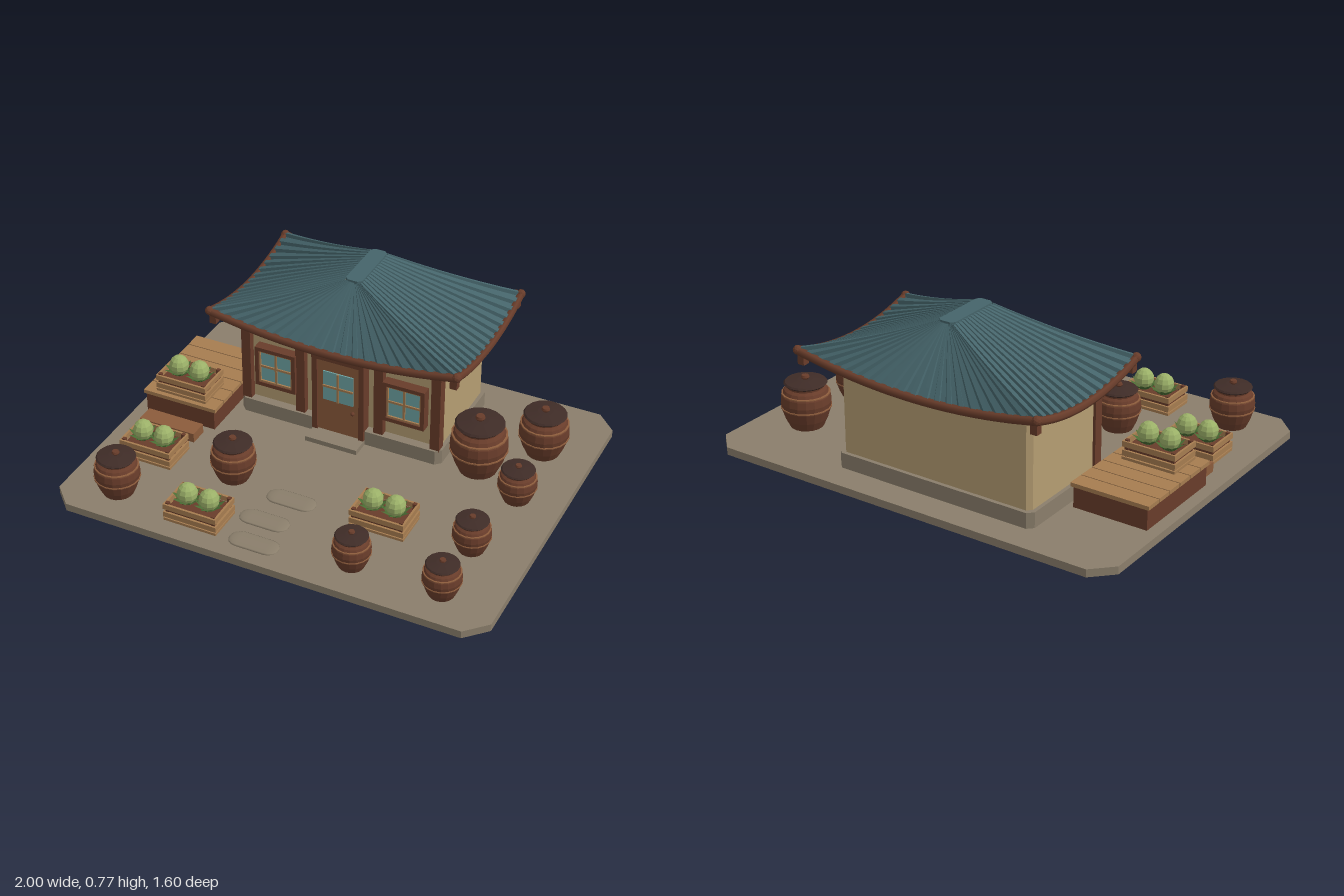
import * as THREE from 'three';

const mat = (name, color, side = THREE.FrontSide) => {
  const m = new THREE.MeshStandardMaterial({ color, side });
  m.name = name;
  return m;
};
const M = {
  stone: mat('stone', 0x8a7e6b),
  wall: mat('plaster', 0xb59d72),
  dark: mat('dark wood and clay', 0x683c2a),
  wood: mat('door wood', 0x8b5b3b),
  light: mat('light wood', 0xa67c50),
  glass: mat('glass', 0x6fa5a5),
  roof: mat('roof tile', 0x45646a, THREE.DoubleSide),
  lid: mat('jar lid', 0x3f2c27),
  leaf: mat('outer leaf', 0x4a6b33, THREE.DoubleSide),
  cabbage: mat('cabbage', 0x9bb068),
};

// Faceted normals
function flat(g) {
  const f = g.index ? g.toNonIndexed() : g;
  f.computeVertexNormals();
  return f;
}

function add(parent, name, geo, material, x = 0, y = 0, z = 0) {
  const m = new THREE.Mesh(geo, material);
  m.name = name;
  m.position.set(x, y, z);
  parent.add(m);
  return m;
}

function group(parent, name, x = 0, y = 0, z = 0) {
  const g = new THREE.Group();
  g.name = name;
  g.position.set(x, y, z);
  parent.add(g);
  return g;
}

// Box from its minimum and maximum corners
function box(parent, name, material, x0, x1, y0, y1, z0, z1) {
  return add(parent, name, new THREE.BoxGeometry(x1 - x0, y1 - y0, z1 - z0), material,
    (x0 + x1) / 2, (y0 + y1) / 2, (z0 + z1) / 2);
}

// Upright block with chamfered corners
function block(parent, name, material, w, d, c, y0, y1, x, z) {
  const a = w / 2, b = d / 2;
  const s = new THREE.Shape([[-a, c - b], [c - a, -b], [a - c, -b], [a, c - b],
    [a, b - c], [a - c, b], [c - a, b], [-a, b - c]].map(p => new THREE.Vector2(...p)));
  const g = new THREE.ExtrudeGeometry(s, { depth: y1 - y0, bevelEnabled: false });
  g.rotateX(-Math.PI / 2);
  return add(parent, name, g, material, x, y0, z);
}

// Point on the concave hipped roof: side 0-3, u along the side, t from ridge to eave
const RX = -0.08, RZ = -0.415;
const SIGNS = [[-1, 1], [1, 1], [1, -1], [-1, -1]];
function roofPoint(side, u, t, lift = 0) {
  const [ax, az] = SIGNS[side], [bx, bz] = SIGNS[(side + 1) % 4];
  const sx = ax + (bx - ax) * u, sz = az + (bz - az) * u;
  const y = 0.762 - 0.18 * (1.25 * t - 0.25 * t * t) - 0.24 * u * (1 - u) * t * t;
  return new THREE.Vector3(RX + sx * (0.038 + 0.547 * t), y + lift, RZ + sz * (0.138 + 0.222 * t));
}

function buildRoof(parent) {
  const roof = group(parent, 'roof');
  // Ribbed tile surface
  const ROWS = 8, ribs = [20, 14, 20, 14], profile = [0.016, 0, 0, 0.016];
  const pos = [], idx = [];
  let cols = 0;
  for (let s = 0; s < 4; s++) {
    for (let k = 0; k < ribs[s] * 4; k++, cols++) {
      const u = (Math.floor(k / 4) + [0.2, 0.28, 0.72, 0.8][k % 4]) / ribs[s];
      for (let r = 0; r <= ROWS; r++) {
        const t = r / ROWS;
        pos.push(...roofPoint(s, u, t, profile[k % 4] * (0.25 + 0.75 * t)).toArray());
      }
    }
  }
  for (let c = 0; c < cols; c++) {
    for (let r = 0; r < ROWS; r++) {
      const a = c * (ROWS + 1) + r, b = ((c + 1) % cols) * (ROWS + 1) + r;
      idx.push(a, a + 1, b, b, a + 1, b + 1);
    }
  }
  const g = new THREE.BufferGeometry();
  g.setAttribute('position', new THREE.Float32BufferAttribute(pos, 3));
  g.setIndex(idx);
  add(roof, 'ribbedTiles', flat(g), M.roof);
  block(roof, 'ridgeCap', M.roof, 0.078, 0.28, 0.015, 0.745, 0.772, RX, RZ);
  // Curved eave boards and corner tails
  for (let s = 0; s < 4; s++) {
    const pts = [...Array(9)].map((_, i) => roofPoint(s, i / 8, 1));
    const curve = new THREE.CatmullRomCurve3(pts);
    add(roof, 'eaveBoard', new THREE.TubeGeometry(curve, 20, 0.018, 6), M.dark, 0, -0.002, 0);
    const p = pts[0];
    add(roof, 'eaveCorner', flat(new THREE.IcosahedronGeometry(0.021, 1)), M.dark, p.x, p.y, p.z);
    add(roof, 'cornerTail', new THREE.BoxGeometry(0.032, 0.055, 0.032), M.dark,
      p.x - SIGNS[s][0] * 0.014, p.y - 0.035, p.z - SIGNS[s][1] * 0.014);
  }
}

// Glazed panel with a cross of bars, facing +z
function glazing(parent, w, h, x, y, z) {
  const g = group(parent, 'glazing', x, y, z);
  box(g, 'pane', M.glass, -w / 2, w / 2, -h / 2, h / 2, 0, 0.006);
  box(g, 'uprightBar', M.light, -0.005, 0.005, -h / 2, h / 2, 0.004, 0.012);
  box(g, 'crossBar', M.light, -w / 2, w / 2, -0.005, 0.005, 0.004, 0.012);
  return g;
}

function frame(parent, name, material, w, h, bar, depth, x, y, z) {
  const g = group(parent, name, x, y, z);
  for (const s of [-1, 1]) {
    add(g, 'jamb', new THREE.BoxGeometry(bar, h, depth), material, s * (w - bar) / 2, 0, 0);
    add(g, 'rail', new THREE.BoxGeometry(w - 2 * bar, bar, depth), material, 0, s * (h - bar) / 2, 0);
  }
}

function buildHouse(parent) {
  const house = group(parent, 'house');
  block(house, 'plinth', M.stone, 0.98, 0.535, 0.025, 0.035, 0.105, -0.08, -0.4);
  block(house, 'walls', M.wall, 0.945, 0.475, 0.02, 0.1, 0.55, -0.08, -0.412);
  for (const x of [-0.54, -0.272, 0.108, 0.378]) {
    box(house, 'post', M.dark, x - 0.022, x + 0.022, 0.1, 0.49, -0.19, -0.143);
  }
  box(house, 'frontBeam', M.dark, -0.58, 0.42, 0.485, 0.528, -0.195, -0.135);
  // Door
  const door = group(house, 'door', -0.077, 0, 0);
  for (const s of [-1, 1]) {
    add(door, 'doorJamb', new THREE.BoxGeometry(0.025, 0.4, 0.06), M.dark, s * 0.113, 0.25, -0.15);
  }
  box(door, 'doorLintel', M.dark, -0.126, 0.126, 0.435, 0.458, -0.18, -0.118);
  box(door, 'doorPanel', M.wood, -0.102, 0.102, 0.055, 0.436, -0.18, -0.13);
  glazing(door, 0.145, 0.15, 0, 0.302, -0.13);
  add(door, 'doorKnob', flat(new THREE.IcosahedronGeometry(0.01, 1)), M.dark, 0.072, 0.19, -0.122);
  box(house, 'doorStep', M.stone, -0.2, 0.05, 0.035, 0.058, -0.14, -0.045);
  // Windows
  for (const x of [-0.389, 0.233]) {
    frame(house, 'windowFrame', M.dark, 0.198, 0.2, 0.018, 0.05, x, 0.3, -0.153);
    glazing(house, 0.165, 0.165, x, 0.3, -0.148);
    frame(house, 'windowSash', M.light, 0.165, 0.165, 0.008, 0.02, x, 0.3, -0.144);
  }
}

function buildJar(parent, x, z, r, h) {
  const jar = group(parent, 'storageJar', x, 0.035, z);
  const prof = [[0, 0], [0.66, 0], [0.83, 0.17], [0.96, 0.36], [1, 0.5], [0.96, 0.63],
    [0.84, 0.74], [0.72, 0.78], [0.74, 0.84], [0, 0.84]];
  const lathe = p => flat(new THREE.LatheGeometry(p.map(q => new THREE.Vector2(q[0] * r, q[1] * h)), 18));
  add(jar, 'jarBody', lathe(prof), M.dark);
  for (const [rr, y] of [[0.985, 0.4], [0.94, 0.67]]) {
    add(jar, 'jarBand', lathe([[rr - 0.04, y - 0.016], [rr + 0.025, y - 0.01],
      [rr + 0.02, y + 0.01], [rr - 0.04, y + 0.016]]), M.wood);
  }
  add(jar, 'jarLid', lathe([[0, 0.83], [0.8, 0.83], [0.86, 0.86], [0.8, 0.89], [0.3, 0.925], [0, 0.93]]), M.lid);
  add(jar, 'lidKnob', lathe([[0.1, 0.91], [0.17, 0.96], [0.14, 1], [0, 1]]), M.dark);
}

function buildCrate(parent, x, y, z) {
  const crate = group(parent, 'cabbageCrate', x, y, z);
  box(crate, 'crateBase', M.light, -0.125, 0.125, 0, 0.012, -0.085, 0.085);
  box(crate, 'crateFill', M.dark, -0.112, 0.112, 0.012, 0.058, -0.072, 0.072);
  for (const s of [-1, 1]) {
    for (const h of [0.03, 0.07]) {
      add(crate, 'longSlat', new THREE.BoxGeometry(0.25, 0.025, 0.01), M.light, 0, h, s * 0.08);
      add(crate, 'endSlat', new THREE.BoxGeometry(0.01, 0.025, 0.15), M.light, s * 0.12, h, 0);
    }
    for (const t of [-1, 1]) {
      add(crate, 'cratePost', new THREE.BoxGeometry(0.016, 0.085, 0.016), M.dark, s * 0.109, 0.045, t * 0.069);
    }
    // Cabbage head in a ring of spread leaves
    const plant = group(crate, 'cabbagePlant', s * 0.052, 0.095, 0);
    const head = add(plant, 'cabbageHead', flat(new THREE.SphereGeometry(0.045, 10, 7)), M.cabbage, 0, 0.012, 0);
    head.scale.y = 1.08;
    for (let i = 0; i < 9; i++) {
      const a = i / 9 * Math.PI * 2;
      const leaf = new THREE.ConeGeometry(0.026, 0.06, 4);
      leaf.scale(1, 1, 0.25).translate(0, 0.03, 0).rotateX(1.0).translate(0, -0.03, 0.018).rotateY(a);
      add(plant, 'outerLeaf', flat(leaf), M.leaf);
    }
  }
}

export function createModel() {
  const model = new THREE.Group();
  model.name = 'courtyardHouse';
  block(model, 'groundSlab', M.stone, 2, 1.6, 0.09, 0, 0.035, 0, 0);
  buildHouse(model);
  buildRoof(model);

  // Wooden deck with planks and a step
  const deck = group(model, 'deck');
  box(deck, 'deckBase', M.dark, -0.945, -0.6, 0.035, 0.13, -0.41, 0.06);
  for (let i = 0; i < 6; i++) {
    const z = -0.418 + i * 0.0815;
    box(deck, 'plank', M.light, -0.955, -0.59, 0.13, 0.148, z, z + 0.077);
  }
  box(deck, 'deckStep', M.wood, -0.91, -0.635, 0.035, 0.08, 0.1, 0.185);

  // Rounded stepping stones
  for (const [x, z] of [[-0.06, 0.36], [-0.1, 0.53], [-0.07, 0.68]]) {
    const g = new THREE.CapsuleGeometry(0.05, 0.13, 4, 12);
    g.rotateZ(Math.PI / 2).scale(1, 0.18, 1);
    add(model, 'steppingStone', g, M.stone, x, 0.035, z);
  }

  for (const j of [[0.775, -0.43, 0.112, 0.238], [0.565, -0.195, 0.128, 0.282], [0.795, -0.07, 0.086, 0.182],
    [-0.36, 0.32, 0.1, 0.214], [0.75, 0.32, 0.083, 0.178], [-0.755, 0.625, 0.1, 0.214],
    [0.35, 0.625, 0.083, 0.178], [0.75, 0.625, 0.083, 0.178]]) buildJar(model, ...j);

  for (const c of [[-0.755, 0.035, 0.32], [-0.36, 0.035, 0.625], [0.355, 0.035, 0.32],
    [-0.775, 0.148, -0.04]]) buildCrate(model, ...c);
  return model;
}
